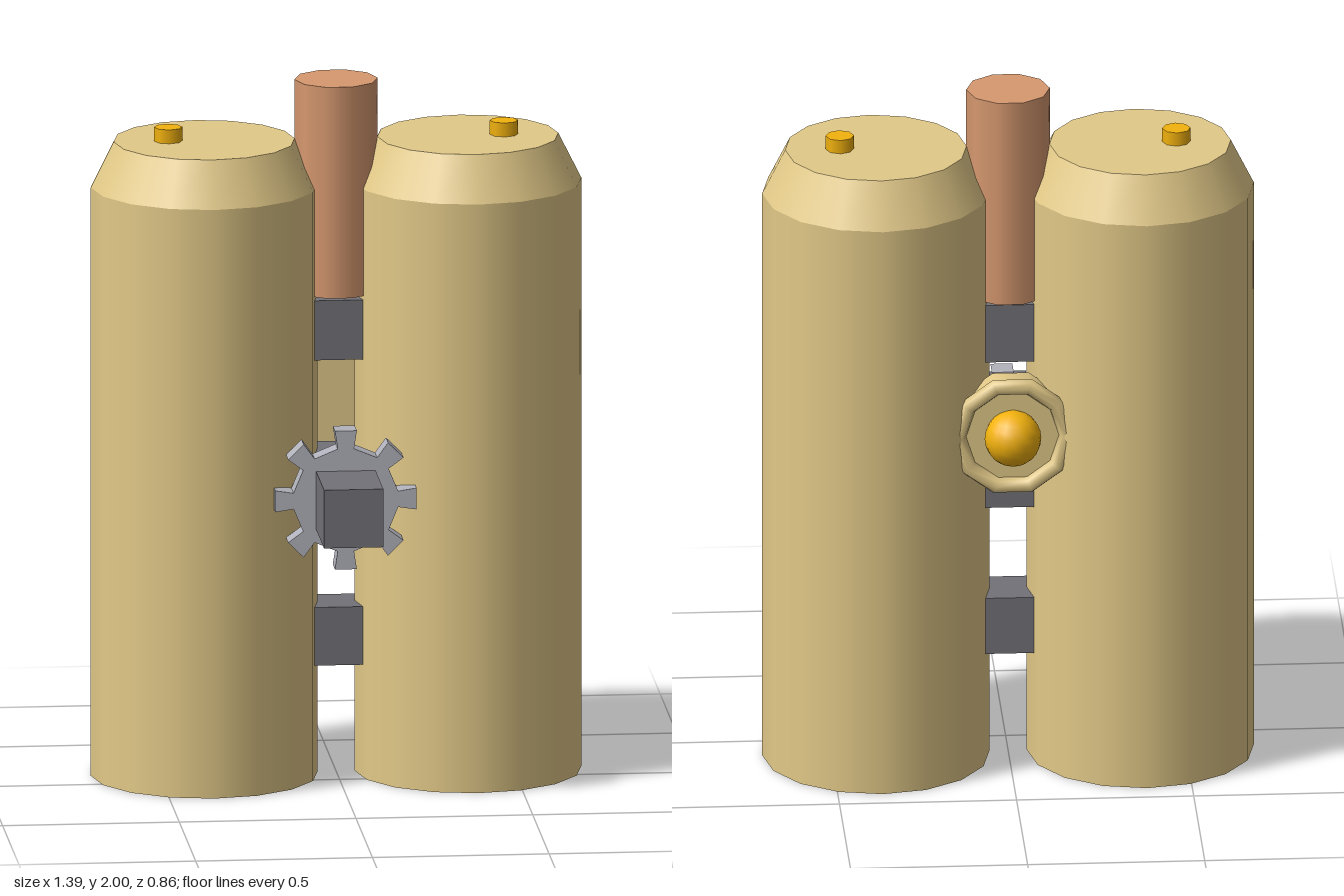
import * as THREE from 'three';

const tan = new THREE.MeshStandardMaterial({ color: 0xe2c988 });
const copper = new THREE.MeshStandardMaterial({ color: 0xd6986f });
const dark = new THREE.MeshStandardMaterial({ color: 0x727278 });
const steel = new THREE.MeshStandardMaterial({ color: 0xb2b2bc });
const gold = new THREE.MeshStandardMaterial({ color: 0xf2b20e });

const AXIS_Z = -0.11; // depth of the tanks and pipe

export function createModel() {
  const model = new THREE.Group();
  model.name = 'twinTankPack';

  const add = (name, geometry, material, x, y, z, parent = model) => {
    const mesh = new THREE.Mesh(geometry, material);
    mesh.name = name;
    mesh.position.set(x, y, z);
    parent.add(mesh);
    return mesh;
  };

  // Two mirrored tanks with a bevelled shoulder and a small valve knob
  for (const side of [-1, 1]) {
    const tank = new THREE.Group();
    tank.name = side > 0 ? 'leftTank' : 'rightTank';
    tank.position.set(side * 0.373, 0, AXIS_Z);
    add('tankBody', new THREE.CylinderGeometry(0.321, 0.321, 1.7, 16), tan, 0, 0.85, 0, tank);
    add('tankShoulder', new THREE.CylinderGeometry(0.256, 0.321, 0.13, 16), tan, 0, 1.765, 0, tank);
    add('valveKnob', new THREE.CylinderGeometry(0.04, 0.04, 0.06, 8), gold, side * 0.102, 1.84, 0, tank);
    model.add(tank);
  }

  // Ten-sided pipe between the tanks
  const pipe = add('pipe', new THREE.CylinderGeometry(0.118, 0.118, 0.61, 10), copper, 0, 1.695, AXIS_Z);
  pipe.rotation.y = Math.PI / 2;

  // Blocks joining the tanks, and the long handle through the gear
  add('upperBlock', new THREE.BoxGeometry(0.168, 0.172, 0.168), dark, 0, 1.292, AXIS_Z);
  add('lowerBlock', new THREE.BoxGeometry(0.168, 0.168, 0.168), dark, 0, 0.408, AXIS_Z);
  add('handle', new THREE.BoxGeometry(0.168, 0.168, 0.624), dark, 0, 0.85, 0.118);

  // Gear with eight teeth that flare outwards
  const outline = [];
  for (let i = 0; i < 8; i++) {
    const a = (i * Math.PI) / 4;
    for (const [r, w] of [[0.148, -0.023], [0.2, -0.031], [0.2, 0.031], [0.148, 0.023]]) {
      outline.push(new THREE.Vector2(r * Math.cos(a) - w * Math.sin(a), r * Math.sin(a) + w * Math.cos(a)));
    }
  }
  const gearGeometry = new THREE.ExtrudeGeometry(new THREE.Shape(outline), { depth: 0.067, bevelEnabled: false });
  add('gear', gearGeometry, steel, 0, 0.85, 0.125);

  // Rear gauge: round body, rim and domed centre
  const gauge = new THREE.Group();
  gauge.name = 'rearGauge';
  gauge.position.set(0, 1.03, 0);
  const body = new THREE.CylinderGeometry(0.165, 0.165, 0.085, 10);
  body.rotateY(Math.PI / 2).rotateX(Math.PI / 2);
  add('gaugeBody', body, tan, 0, 0, -0.2725, gauge);
  add('gaugeRim', new THREE.TorusGeometry(0.155, 0.024, 8, 10), tan, 0, 0, -0.316, gauge);
  add('gaugeDome', new THREE.SphereGeometry(0.08, 16, 12), gold, 0, 0, -0.335, gauge);
  model.add(gauge);

  return model;
}
